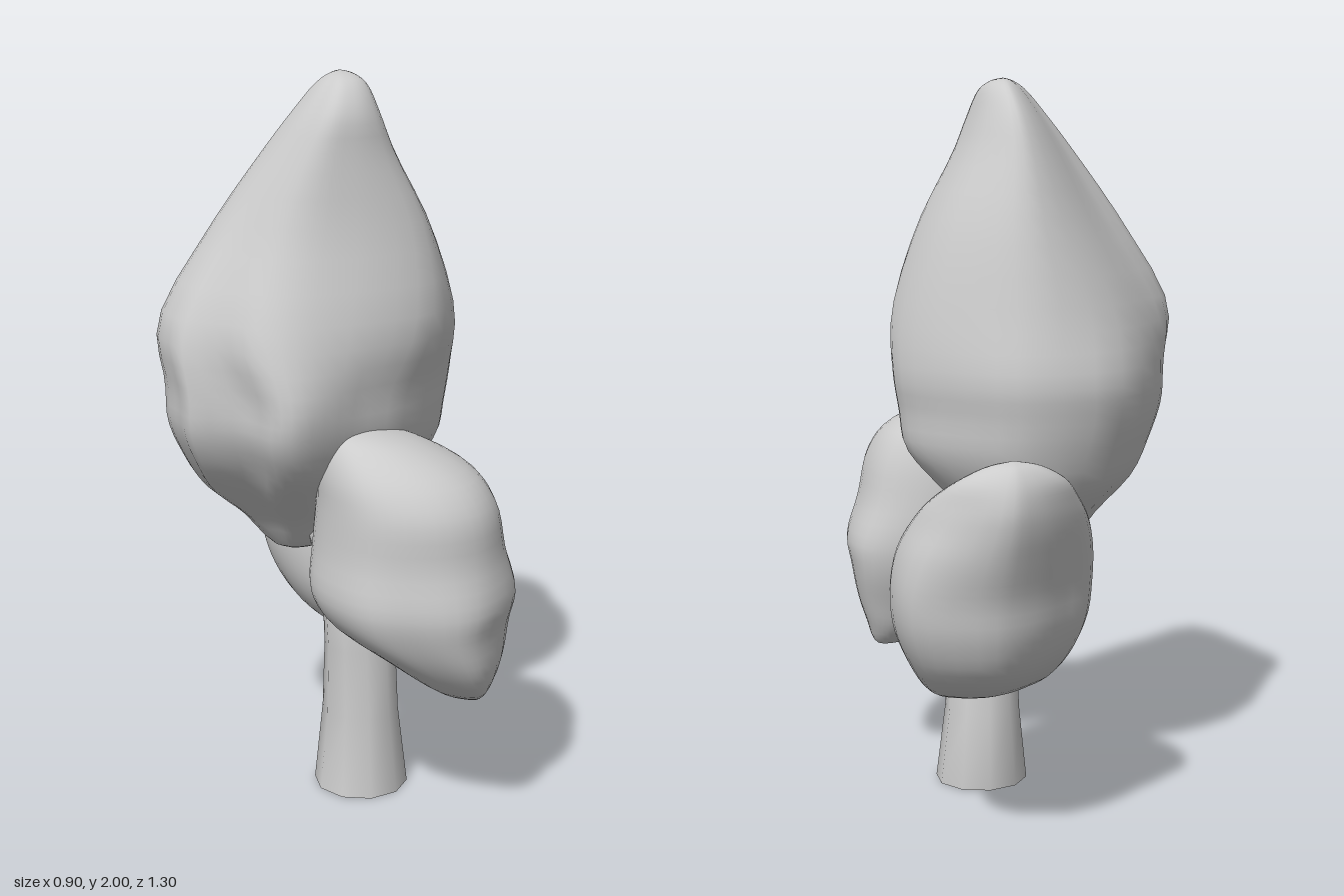
import * as THREE from 'three';
import { mergeVertices } from 'three/addons/utils/BufferGeometryUtils.js';

const material = new THREE.MeshStandardMaterial({ color: 0xcccccc, side: THREE.DoubleSide });

// Scale an outline of [x, z] points to the unit square.
function normalise(outline) {
  const lo = [0, 1].map(k => Math.min(...outline.map(p => p[k])));
  const hi = [0, 1].map(k => Math.max(...outline.map(p => p[k])));
  return outline.map(p => [0, 1].map(k => (p[k] - lo[k]) / (hi[k] - lo[k])));
}

// Smooth foliage mass: rings are [y, xMin, xMax, zMin, zMax, blend] from bottom to top,
// each filled with a mix of the lower and the upper outline.
function foliage(name, lower, upper, rings, around = 40, along = 40) {
  const a = normalise(lower), b = normalise(upper);
  const loops = rings.map(([y, x0, x1, z0, z1, w = 0]) => new THREE.CatmullRomCurve3(
    a.map((p, i) => new THREE.Vector3(
      x0 + (x1 - x0) * THREE.MathUtils.lerp(p[0], b[i][0], w), y,
      z0 + (z1 - z0) * THREE.MathUtils.lerp(p[1], b[i][1], w))), true, 'centripetal'));
  const positions = [], index = [];
  for (let i = 0; i < around; i++) {
    const rib = new THREE.CatmullRomCurve3(loops.map(l => l.getPoint(i / around)), false, 'centripetal');
    for (let j = 0; j <= along; j++) positions.push(...rib.getPoint(j / along).toArray());
  }
  const id = (i, j) => (i % around) * (along + 1) + j;
  for (let i = 0; i < around; i++) for (let j = 0; j < along; j++) {
    if (j > 0) index.push(id(i, j), id(i + 1, j + 1), id(i + 1, j));
    if (j < along - 1) index.push(id(i, j), id(i, j + 1), id(i + 1, j + 1));
  }
  let geometry = new THREE.BufferGeometry();
  geometry.setAttribute('position', new THREE.Float32BufferAttribute(positions, 3));
  geometry.setIndex(index);
  geometry = mergeVertices(geometry, 1e-5);
  geometry.computeVertexNormals();
  const mesh = new THREE.Mesh(geometry, material);
  mesh.name = name;
  return mesh;
}

// Bent open trunk: sections are [y, x, z, radiusX, radiusZ].
function makeTrunk() {
  const sections = [
    [0, 0.1, 0.137, 0.132, 0.13],
    [0.22, 0.1, 0.122, 0.107, 0.109],
    [0.43, 0.09, 0.155, 0.1, 0.085],
    [0.64, 0.06, 0.155, 0.08, 0.05],
    [0.84, -0.02, 0.08, 0.06, 0.05],
  ];
  const n = sections.length - 1;
  const geometry = new THREE.CylinderGeometry(1, 1, 1, 10, n, true);
  const p = geometry.attributes.position;
  for (let i = 0; i < p.count; i++) {
    const [y, x, z, rx, rz] = sections[Math.round((p.getY(i) + 0.5) * n)];
    p.setXYZ(i, x + p.getX(i) * rx, y, z + p.getZ(i) * rz);
  }
  geometry.deleteAttribute('normal');
  geometry.deleteAttribute('uv');
  const merged = mergeVertices(geometry);
  merged.computeVertexNormals();
  const mesh = new THREE.Mesh(merged, material);
  mesh.name = 'trunk';
  return mesh;
}

// Short twig running from the trunk into the back foliage.
function makeTwig() {
  const path = new THREE.LineCurve3(new THREE.Vector3(0.12, 0.42, 0.1), new THREE.Vector3(0.16, 0.54, -0.06));
  const mesh = new THREE.Mesh(new THREE.TubeGeometry(path, 1, 0.026, 8), material);
  mesh.name = 'twig';
  return mesh;
}

export function createModel() {
  const tree = new THREE.Group();
  tree.name = 'tree';
  tree.add(makeTrunk(), makeTwig());

  // Tall crown with a folded side bulge low at the front
  const crownLower = [[0.36, 0.03], [0.33, 0.13], [0.17, 0.32], [0.03, 0.39], [-0.08, 0.45], [-0.16, 0.475],
    [-0.22, 0.45], [-0.28, 0.35], [-0.41, 0.31], [-0.43, 0.23], [-0.45, 0.13], [-0.4, 0],
    [-0.22, -0.25], [0, -0.3], [0.13, -0.26], [0.3, -0.1]];
  const crownUpper = [[0.36, 0.1], [0.355, 0.22], [0.3, 0.35], [0.14, 0.43], [-0.04, 0.46], [-0.16, 0.46],
    [-0.25, 0.43], [-0.33, 0.36], [-0.4, 0.29], [-0.44, 0.21], [-0.45, 0.12], [-0.36, 0.03],
    [-0.2, -0.18], [0, -0.3], [0.14, -0.26], [0.3, -0.1]];
  tree.add(foliage('crown', crownLower, crownUpper, [
    [0.68, -0.07, -0.07, 0.03, 0.03, 1],
    [0.7, -0.13, 0.02, -0.04, 0.09, 0.8],
    [0.8, -0.22, 0.15, -0.14, 0.18, 0.4],
    [0.9, -0.33, 0.25, -0.225, 0.3, 0.2],
    [1.0, -0.39, 0.33, -0.26, 0.41, 0],
    [1.1, -0.43, 0.345, -0.28, 0.465, 0],
    [1.2, -0.435, 0.36, -0.29, 0.475, 0],
    [1.36, -0.45, 0.35, -0.25, 0.43, 0.6],
    [1.6, -0.31, 0.27, -0.18, 0.345, 1],
    [1.8, -0.17, 0.165, -0.1, 0.315, 1],
    [1.9, -0.095, 0.122, -0.045, 0.3, 1],
    [1.97, -0.035, 0.09, 0.03, 0.25, 1],
    [1.993, 0.0, 0.06, 0.09, 0.2, 1],
    [2.0, 0.03, 0.03, 0.14, 0.14, 1],
  ]));

  // Slanted foliage at the front, squarer towards the top
  const frontLower = [[0.45, 0.32], [0.42, 0.48], [0.3, 0.62], [0.22, 0.65], [0.1, 0.62], [0, 0.57],
    [-0.07, 0.45], [-0.09, 0.34], [-0.03, 0.23], [0.12, 0.18], [0.3, 0.17], [0.42, 0.22]];
  const frontUpper = [[0.45, 0.36], [0.44, 0.51], [0.36, 0.61], [0.24, 0.65], [0.1, 0.63], [0, 0.57],
    [-0.07, 0.46], [-0.09, 0.35], [-0.05, 0.23], [0.08, 0.17], [0.26, 0.18], [0.4, 0.25]];
  tree.add(foliage('frontFoliage', frontLower, frontUpper, [
    [0.35, 0.34, 0.34, 0.38, 0.38],
    [0.365, 0.28, 0.375, 0.32, 0.45],
    [0.42, 0.19, 0.395, 0.27, 0.55],
    [0.5, 0.08, 0.42, 0.235, 0.61],
    [0.6, -0.05, 0.44, 0.195, 0.64],
    [0.68, -0.09, 0.45, 0.175, 0.65, 0.3],
    [0.8, -0.08, 0.41, 0.165, 0.625, 0.8],
    [0.92, -0.07, 0.38, 0.175, 0.615, 1],
    [1.0, -0.07, 0.33, 0.2, 0.57, 1],
    [1.07, -0.06, 0.21, 0.23, 0.48, 1],
    [1.1, -0.04, 0.11, 0.26, 0.41, 1],
    [1.113, 0.02, 0.02, 0.32, 0.32, 1],
  ]));

  // Foliage reaching up and out at the back
  const backLower = [[0.44, -0.45], [0.42, -0.3], [0.33, -0.06], [0.22, 0.02], [0.08, 0.01], [-0.05, -0.1],
    [-0.11, -0.3], [-0.07, -0.46], [0.0, -0.53], [0.1, -0.61], [0.22, -0.65], [0.4, -0.58]];
  const backUpper = [[0.44, -0.36], [0.42, -0.24], [0.33, -0.05], [0.22, 0.02], [0.08, 0.01], [-0.05, -0.1],
    [-0.11, -0.3], [-0.08, -0.44], [0.0, -0.53], [0.1, -0.61], [0.2, -0.65], [0.36, -0.53]];
  tree.add(foliage('backFoliage', backLower, backUpper, [
    [0.36, 0.17, 0.17, -0.13, -0.13],
    [0.37, 0.08, 0.27, -0.24, -0.07],
    [0.42, 0, 0.34, -0.43, -0.02],
    [0.5, -0.06, 0.39, -0.53, 0.02],
    [0.6, -0.1, 0.43, -0.575, 0.025],
    [0.7, -0.11, 0.44, -0.59, 0.015],
    [0.8, -0.1, 0.425, -0.62, -0.03, 0.3],
    [0.88, -0.07, 0.39, -0.64, -0.14, 0.7],
    [0.94, -0.03, 0.355, -0.645, -0.27, 1],
    [1.0, 0.02, 0.3, -0.63, -0.42, 1],
    [1.04, 0.09, 0.23, -0.6, -0.51, 1],
    [1.055, 0.16, 0.16, -0.56, -0.56, 1],
  ]));
  return tree;
}
